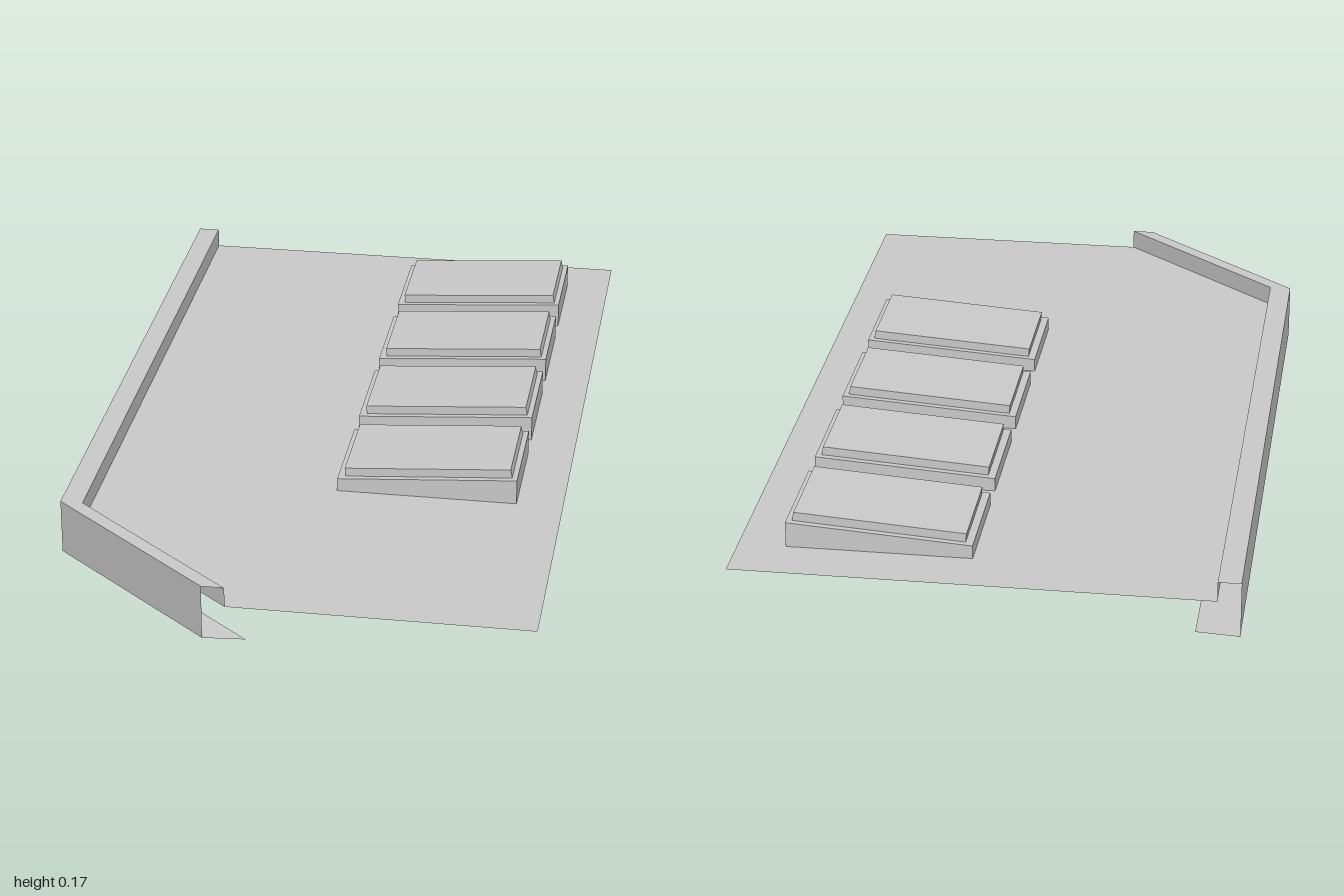
import * as THREE from 'three';

const DECK_Y = 0.085, TOP_Y = 0.133;
const material = new THREE.MeshStandardMaterial({ color: 0xcccccc, flatShading: true, side: THREE.DoubleSide });

// Joins consecutive cross-sections (lists of [x, y, z]) with flat quads; optionally caps the last one.
function loft(sections, closed, capLast) {
  const pos = [];
  const quad = (a, b, c, d) => pos.push(...a, ...b, ...c, ...a, ...c, ...d);
  for (let s = 0; s < sections.length - 1; s++) {
    const p = sections[s], q = sections[s + 1], n = p.length;
    for (let i = 0; i < (closed ? n : n - 1); i++) {
      const j = (i + 1) % n;
      quad(p[i], p[j], q[j], q[i]);
    }
  }
  if (capLast) quad(...sections[sections.length - 1]);
  const geometry = new THREE.BufferGeometry();
  geometry.setAttribute('position', new THREE.Float32BufferAttribute(pos, 3));
  geometry.computeVertexNormals();
  return geometry;
}

function addMesh(parent, name, geometry) {
  const mesh = new THREE.Mesh(geometry, material);
  mesh.name = name;
  parent.add(mesh);
}

// Rectangle in plan, counter-clockwise from above, with its own height at the low and high ends
const rectRing = (x0, x1, y0, y1, halfZ) =>
  [[x0, y0, halfZ], [x1, y1, halfZ], [x1, y1, -halfZ], [x0, y0, -halfZ]];

export function createModel() {
  const model = new THREE.Group();
  model.name = 'roofSection';

  const skylightZ = [0, 1, 2, 3].map(i => -0.742 + i * 0.34);
  const X0 = 0.038, X1 = 0.469, HALF_Z = 0.133;

  // Flat roof deck with a cut corner and an opening under each skylight
  const deck = new THREE.Shape([[-0.527, -1], [0.58, -1], [0.58, 1], [-0.122, 1], [-0.527, 0.655]]
    .map(p => new THREE.Vector2(...p)));
  for (const z of skylightZ) {
    deck.holes.push(new THREE.Path([[X0, z - HALF_Z], [X0, z + HALF_Z], [X1, z + HALF_Z], [X1, z - HALF_Z]]
      .map(p => new THREE.Vector2(...p))));
  }
  // Turned over so that the upper side is the front
  const deckGeometry = new THREE.ShapeGeometry(deck).rotateX(Math.PI / 2).translate(0, DECK_Y, 0);
  const index = deckGeometry.index.array;
  for (let i = 0; i < index.length; i += 3) [index[i], index[i + 1]] = [index[i + 1], index[i]];
  deckGeometry.computeVertexNormals();
  addMesh(model, 'roofDeck', deckGeometry);

  // Parapet: bottom lip, outer wall, coping and inner wall swept along the edge
  const edge = [[-0.58, -1], [-0.58, 0.655], [-0.175, 1]];
  const profile = [[0.1, 0.005], [0, 0], [0, TOP_Y], [0.053, TOP_Y], [0.053, DECK_Y]];
  addMesh(model, 'parapet', loft(edge.map(([x, z]) => profile.map(([dx, y]) => [x + dx, y, z])), false, false));

  // Sloping skylights, hollow from below
  for (const z of skylightZ) {
    const skylight = new THREE.Group();
    skylight.name = 'skylight';
    skylight.position.z = z;
    const curbTop = rectRing(X0, X1, 0.117, 0.146, HALF_Z);
    const paneFoot = rectRing(0.056, 0.456, 0.118, 0.145, HALF_Z - 0.015);
    const paneTop = rectRing(0.054, 0.452, 0.139, 0.166, HALF_Z - 0.015);
    addMesh(skylight, 'skylightCurb', loft([rectRing(X0, X1, DECK_Y, DECK_Y, HALF_Z), curbTop, paneFoot], true, false));
    addMesh(skylight, 'skylightPane', loft([paneFoot, paneTop], true, true));
    model.add(skylight);
  }
  return model;
}
